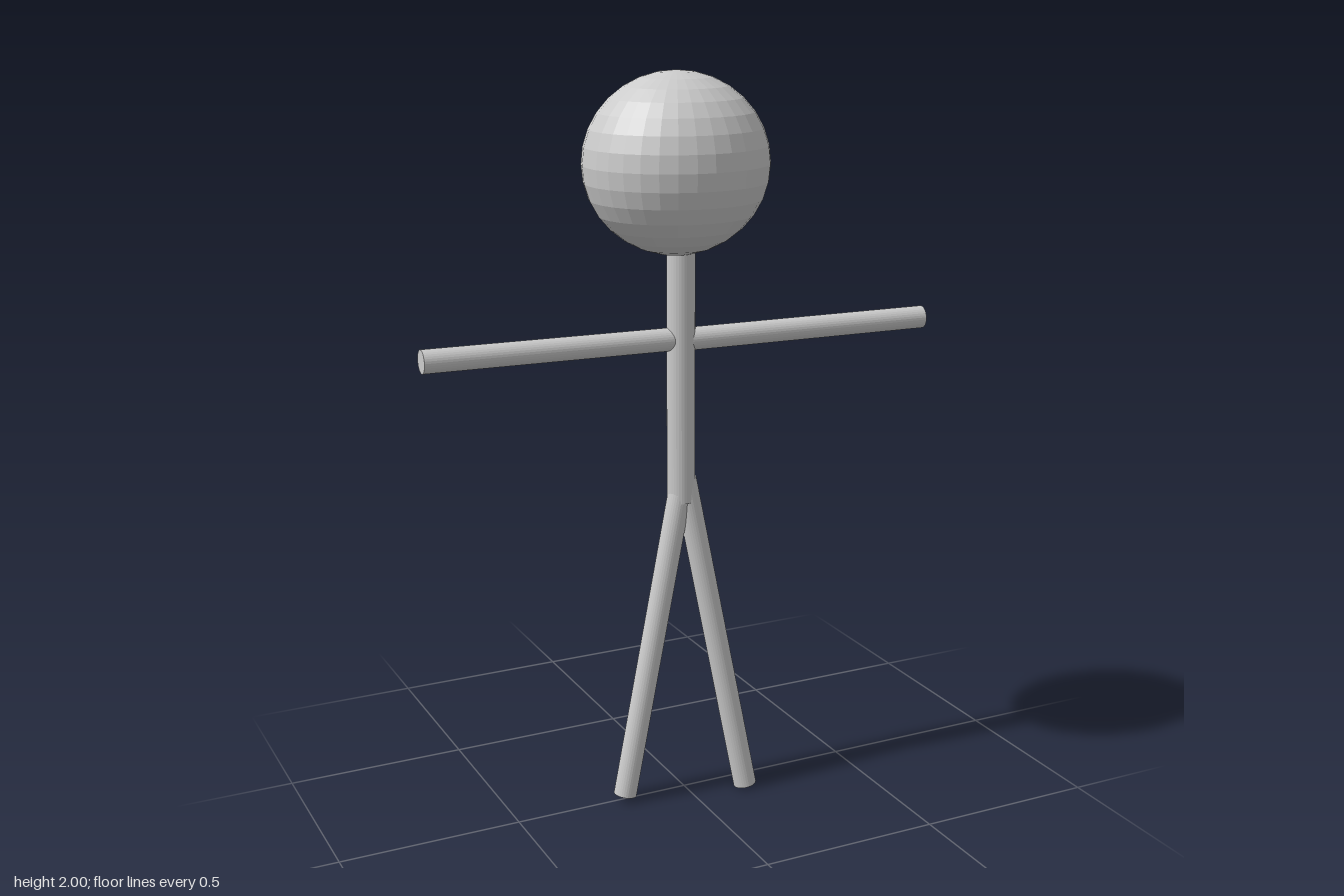
import * as THREE from 'three';

const material = new THREE.MeshStandardMaterial({ color: 0xcccccc, flatShading: true });

// Straight round rod between two points
function rod(name, from, to, radius) {
  const a = new THREE.Vector3(...from);
  const b = new THREE.Vector3(...to);
  const dir = b.clone().sub(a);
  const mesh = new THREE.Mesh(new THREE.CylinderGeometry(radius, radius, dir.length(), 32), material);
  mesh.name = name;
  mesh.position.copy(a).add(b).multiplyScalar(0.5);
  mesh.quaternion.setFromUnitVectors(new THREE.Vector3(0, 1, 0), dir.normalize());
  return mesh;
}

export function createModel() {
  const group = new THREE.Group();
  group.name = 'stickFigure';

  // Head: slightly widened faceted ball
  const head = new THREE.Mesh(new THREE.SphereGeometry(1, 32, 16), material);
  head.name = 'head';
  head.scale.set(0.248, 0.236, 0.228);
  head.position.set(-0.022, 1.764, 0);
  group.add(head);

  // Torso and neck in one rod
  group.add(rod('torso', [-0.009, 0.855, 0], [-0.009, 1.6, 0], 0.038));

  // Arms, each swung a little out of line
  group.add(rod('leftArm', [0, 1.3, 0], [0.71, 1.306, 0.051], 0.031));
  group.add(rod('rightArm', [0, 1.302, -0.004], [-0.715, 1.306, -0.025], 0.031));

  // Legs, the left one stepping forward
  group.add(rod('leftLeg', [0.002, 0.915, 0], [0.158, 0.008, 0.071], 0.032));
  group.add(rod('rightLeg', [-0.01, 0.9, 0.003], [-0.184, 0.018, 0.003], 0.032));

  return group;
}
